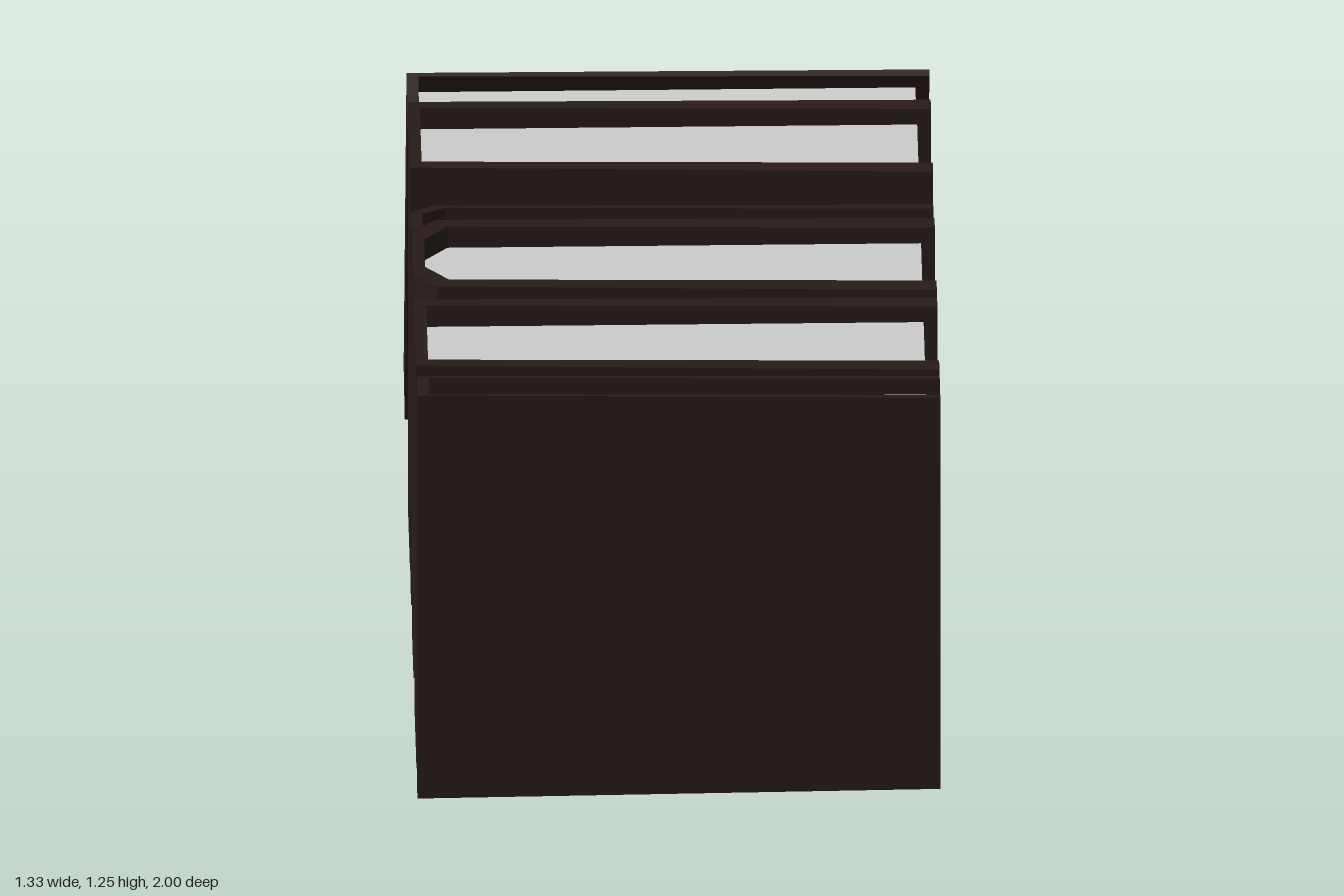
import * as THREE from 'three';

const SPINE = -0.665, OPEN = 0.665, BOARD = 0.03, PAGE_END = 0.63;
const coverMat = new THREE.MeshStandardMaterial({ color: 0x281c1a, flatShading: true });
const pageMat = new THREE.MeshStandardMaterial({ color: 0xcccccc, flatShading: true });

// Upright prism from an outline of [x, z] points, centred on y = 0
function prism(outline, height) {
  const shape = new THREE.Shape(outline.map(([x, z]) => new THREE.Vector2(x, -z)));
  return new THREE.ExtrudeGeometry(shape, { depth: height, bevelEnabled: false })
    .translate(0, 0, -height / 2)
    .rotateX(-Math.PI / 2);
}

// Mirror a half outline across z = 0
const mirrorZ = half => [...half, ...half.map(([x, z]) => [x, -z]).reverse()];

// Spine end of an outline: square, or with chamfered corners when tip < 1
const spineEnd = (x, half, tip) => tip < 1 ? [[x + 0.06, half], [x, half * tip]] : [[x, half]];

function makeBook(b) {
  const book = new THREE.Group();
  book.name = b.name;
  const tip = b.tip ?? 1, innerTip = b.tip ? 0.52 : 1;
  const inner = spineEnd(SPINE + BOARD, b.page, innerTip);

  // U-shaped cover: boards flare slightly towards the open side
  const outer = mirrorZ([[OPEN, b.open], ...spineEnd(SPINE, b.spine, tip)]);
  const inside = mirrorZ([[OPEN, b.page], ...inner]).reverse();
  const coverGeo = prism([...outer, ...inside], b.height);
  const pos = coverGeo.attributes.position;
  // Boards become a little shorter towards the open side
  for (let i = 0; i < pos.count; i++) {
    const t = (pos.getX(i) - SPINE) / (OPEN - SPINE);
    pos.setY(i, pos.getY(i) - Math.sign(pos.getY(i)) * 0.018 * t);
  }
  coverGeo.computeVertexNormals();
  const cover = new THREE.Mesh(coverGeo, coverMat);
  cover.name = 'cover';

  // Page block, set back from the cover edges
  const pages = new THREE.Mesh(prism(mirrorZ([[PAGE_END, b.page], ...inner]), b.height - 0.13), pageMat);
  pages.name = 'pages';

  book.add(cover, pages);
  book.position.set(0, b.y ?? 0.035 + b.height / 2, b.z);
  book.rotation.x = b.lean ?? 0;
  return book;
}

export function createModel() {
  const row = new THREE.Group();
  row.name = 'bookRow';
  // spine, open and page are half widths in z
  const books = [
    { name: 'thinFrontBook', z: 0.948, spine: 0.045, open: 0.051, page: 0.038, height: 1.22 },
    { name: 'thickFrontBook', z: 0.698, spine: 0.155, open: 0.17, page: 0.127, height: 1.22 },
    { name: 'thickRoundedBook', z: 0.325, spine: 0.156, open: 0.17, page: 0.124, height: 1.22, tip: 0.65 },
    { name: 'smallRoundedBook', z: 0.048, spine: 0.07, open: 0.079, page: 0.06, height: 1.14, tip: 0.53 },
    { name: 'thickBackBook', z: -0.23, spine: 0.154, open: 0.169, page: 0.126, height: 1.22 },
    { name: 'leaningBook', z: -0.708, y: 0.609, spine: 0.087, open: 0.096, page: 0.075, height: 1.22, lean: 0.342 },
  ];
  for (const b of books) row.add(makeBook(b));
  return row;
}
